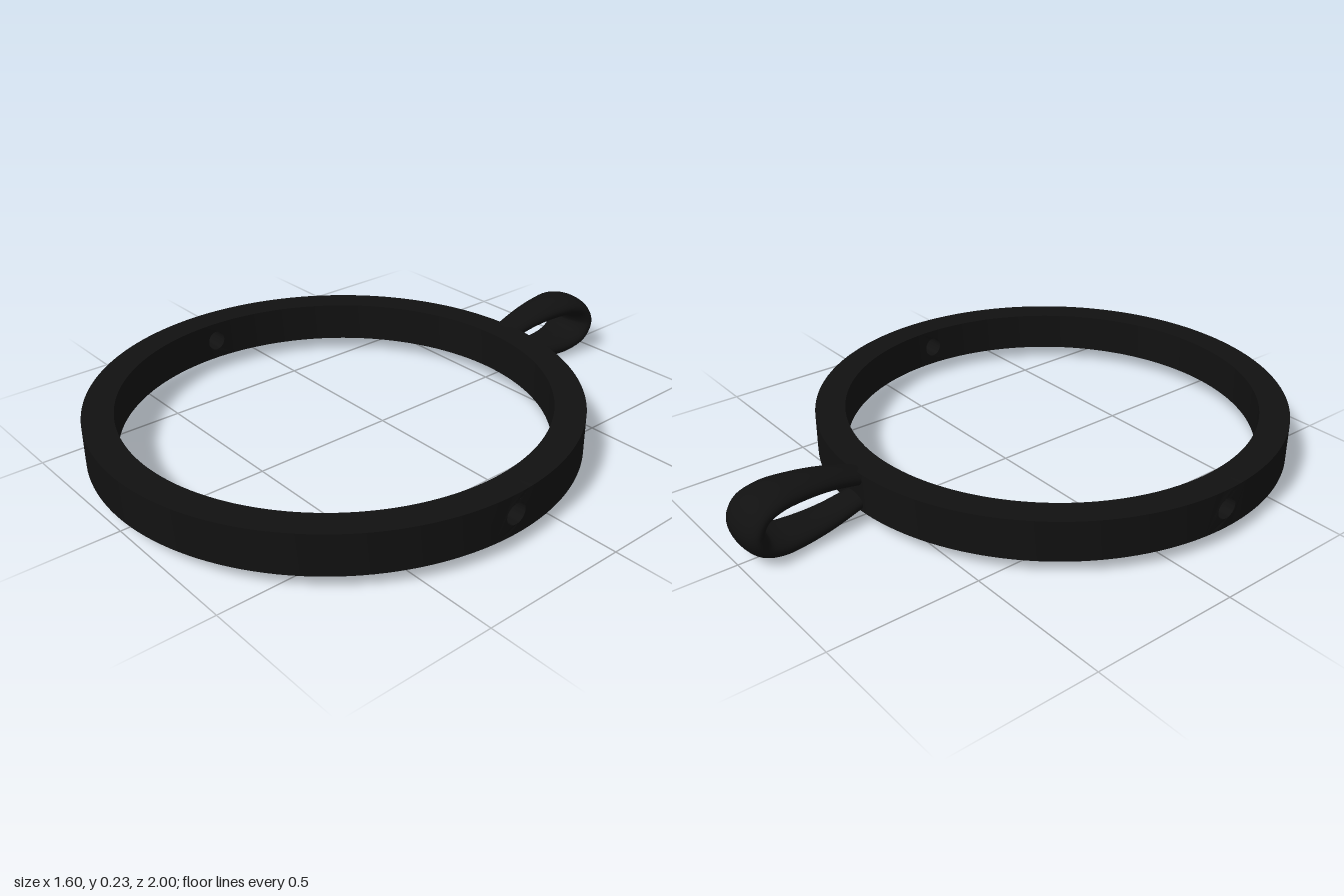
import * as THREE from 'three';
import { mergeGeometries, toCreasedNormals } from 'three/addons/utils/BufferGeometryUtils.js';
import { ParametricGeometry } from 'three/addons/geometries/ParametricGeometry.js';

const INNER = 0.7, OUTER = 0.8, MID = 0.75;
const BOTTOM = 0.05, TOP = 0.185, CENTRE_Y = 0.118;
const RING_Z = 0.2;
const PANEL_ANGLE = 0.1; // half the arc of each drilled section

// Plain arc of the band
function bandArc(start) {
  const profile = [[INNER, BOTTOM], [OUTER, BOTTOM], [OUTER, TOP], [INNER, TOP], [INNER, BOTTOM]]
    .map(([r, y]) => new THREE.Vector2(r, y));
  return new THREE.LatheGeometry(profile, 72, start, Math.PI - 2 * PANEL_ANGLE).toNonIndexed();
}

// Short section of the band with a round hole, bent to the ring's curve
function drilledPanel(turn) {
  const half = PANEL_ANGLE * MID, steps = 8;
  const edge = [];
  for (let i = 0; i <= steps; i++) edge.push(new THREE.Vector2(-half + 2 * half * i / steps, BOTTOM));
  for (let i = 0; i <= steps; i++) edge.push(new THREE.Vector2(half - 2 * half * i / steps, TOP));
  const shape = new THREE.Shape(edge);
  const hole = new THREE.Path();
  hole.absarc(0, CENTRE_Y, 0.035, 0, Math.PI * 2, true);
  shape.holes.push(hole);
  const geometry = new THREE.ExtrudeGeometry(shape, { depth: OUTER - INNER, bevelEnabled: false, curveSegments: 24 });
  const p = geometry.attributes.position;
  for (let i = 0; i < p.count; i++) {
    const angle = p.getX(i) / MID, r = INNER + p.getZ(i);
    p.setXYZ(i, r * Math.cos(angle), p.getY(i), -r * Math.sin(angle));
  }
  return geometry.rotateY(turn);
}

// Teardrop loop: an oval section swept along a bent path, widening to its end
function loopGeometry() {
  const upper = [[0.03, -0.55], [0.043, -0.6], [0.066, -0.7], [0.076, -0.8], [0.073, -0.88], [0.05, -0.938]];
  const lower = upper.map(([y, z]) => [-y, z]).reverse();
  const path = new THREE.CatmullRomCurve3([...upper, [0, -0.9625], ...lower]
    .map(([y, z]) => new THREE.Vector3(0, CENTRE_Y + y, z)));
  return new ParametricGeometry((u, v, target) => {
    const point = path.getPoint(v), t = path.getTangent(v);
    const along = THREE.MathUtils.clamp((-0.58 - point.z) / 0.38, 0, 1);
    const width = 0.05 + 0.045 * Math.pow(along, 1.2);
    const thick = 0.028 + 0.01 * Math.min(1, along * 1.4);
    const a = -u * Math.PI * 2;
    const offset = thick * Math.sin(a);
    target.set(width * Math.cos(a), point.y - t.z * offset, point.z + t.y * offset);
  }, 40, 96);
}

export function createModel() {
  const model = new THREE.Group();
  model.name = 'ringWithLoop';
  const material = new THREE.MeshStandardMaterial({ color: 0x111111 });

  // Ring band with a hole on each side
  const band = new THREE.Mesh(toCreasedNormals(mergeGeometries([
    bandArc(Math.PI / 2 + PANEL_ANGLE),
    bandArc(Math.PI * 1.5 + PANEL_ANGLE),
    drilledPanel(0),
    drilledPanel(Math.PI),
  ]), 0.6), material);
  band.name = 'ringBand';
  band.position.z = RING_Z;
  model.add(band);

  // Hanging loop at the back
  const loop = new THREE.Mesh(loopGeometry(), material);
  loop.name = 'hangingLoop';
  model.add(loop);

  return model;
}
